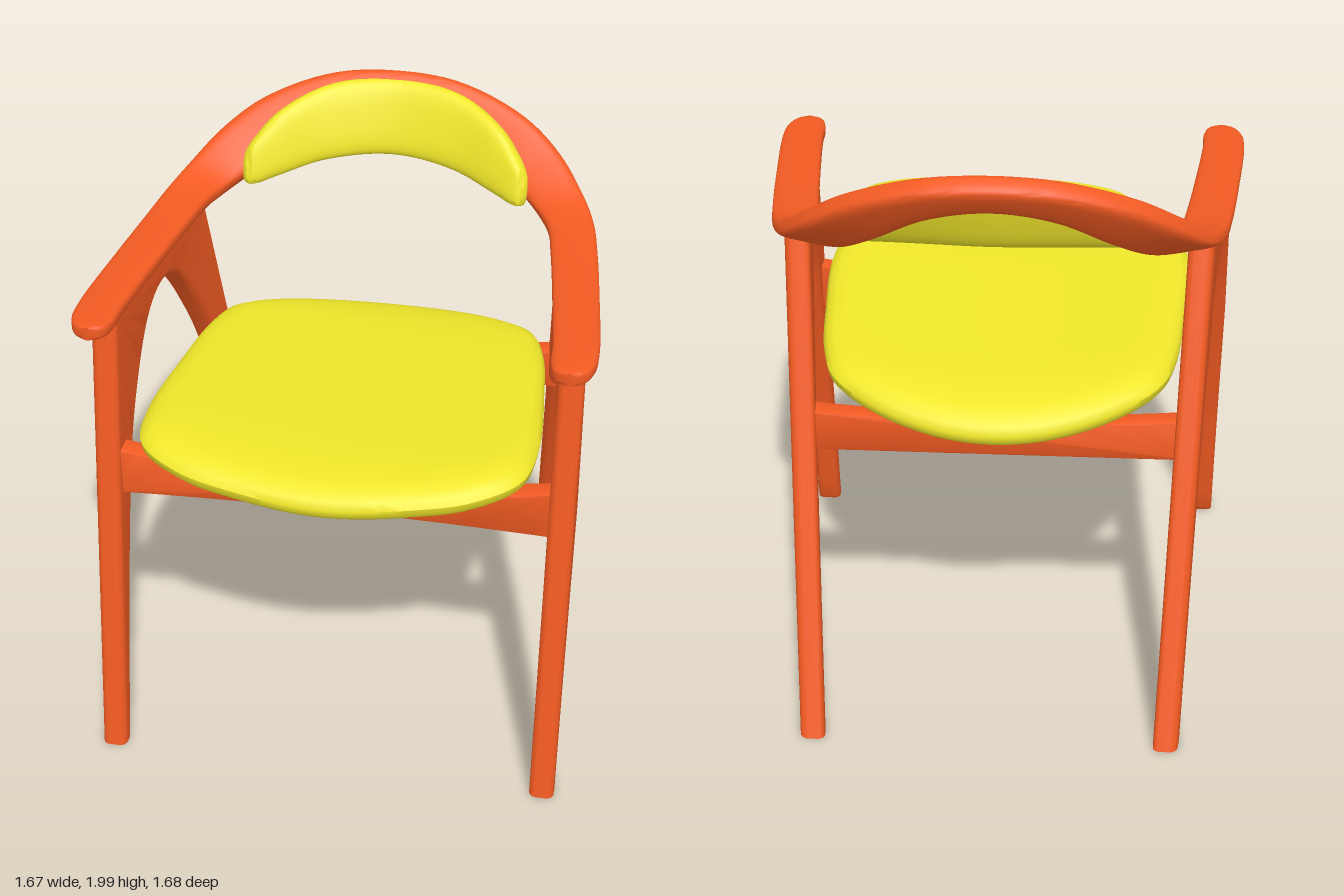
import * as THREE from 'three';
import { toCreasedNormals } from 'three/addons/utils/BufferGeometryUtils.js';

const V = (x, y, z) => new THREE.Vector3(x, y, z);
const wood = new THREE.MeshStandardMaterial({ color: 0xf15a22 });
const fabric = new THREE.MeshStandardMaterial({ color: 0xf0e62a });

function part(name, geometry, material) {
  const mesh = new THREE.Mesh(geometry, material);
  mesh.name = name;
  return mesh;
}

// Skin over a row of closed rings, capped at both ends, faces turned outward
function loft(rings) {
  const n = rings[0].length, pts = rings.flat(), idx = [];
  for (let i = 0; i < rings.length - 1; i++)
    for (let j = 0; j < n; j++) {
      const a = i * n + j, b = i * n + (j + 1) % n;
      idx.push(a, b, b + n, a, b + n, a + n);
    }
  for (const last of [false, true]) {
    const ring = last ? rings[rings.length - 1] : rings[0];
    const base = last ? (rings.length - 1) * n : 0;
    const c = pts.length;
    pts.push(ring.reduce((s, p) => s.add(p), V(0, 0, 0)).divideScalar(n));
    for (let j = 0; j < n; j++) {
      const a = base + j, b = base + (j + 1) % n;
      idx.push(...(last ? [a, b, c] : [b, a, c]));
    }
  }
  let volume = 0;
  for (let i = 0; i < idx.length; i += 3)
    volume += pts[idx[i]].dot(V(0, 0, 0).crossVectors(pts[idx[i + 1]], pts[idx[i + 2]]));
  if (volume < 0) idx.reverse();
  const g = new THREE.BufferGeometry().setFromPoints(pts);
  g.setIndex(idx);
  return toCreasedNormals(g, 0.7);
}

// Mirrored band: each station is [lower/inner edge, upper/outer edge, thickness]
function band(half, power, steps) {
  const flip = p => V(-p.x, p.y, p.z);
  const all = [...half, ...half.slice(0, -1).reverse().map(([a, b, t]) => [flip(a), flip(b), t])];
  const A = new THREE.CatmullRomCurve3(all.map(s => s[0]));
  const B = new THREE.CatmullRomCurve3(all.map(s => s[1]));
  const T = new THREE.SplineCurve(all.map((s, i) => new THREE.Vector2(i, s[2])));
  const mid = t => A.getPoint(t).add(B.getPoint(t)).multiplyScalar(0.5);
  const round = v => Math.sign(v) * Math.abs(v) ** (2 / power);
  const rings = [];
  for (let i = 0; i <= steps; i++) {
    const t = i / steps, c = mid(t);
    const along = mid(Math.min(1, t + 0.005)).sub(mid(Math.max(0, t - 0.005)));
    const u = B.getPoint(t).sub(A.getPoint(t)).multiplyScalar(0.5);
    const n = V(0, 0, 0).crossVectors(u, along).setLength(T.getPoint(t).y / 2);
    rings.push(Array.from({ length: 28 }, (_, j) => {
      const q = j / 28 * Math.PI * 2;
      return c.clone().addScaledVector(u, round(Math.cos(q))).addScaledVector(n, round(Math.sin(q)));
    }));
  }
  return loft(rings);
}

// Arched side frame: front and back legs in one piece, closing in toward the back
function sideFrame(side) {
  const arch = new THREE.SplineCurve([[-0.77, -0.04], [-0.59, 0.44], [-0.365, 0.96], [-0.18, 1.26],
    [-0.02, 1.45], [0.125, 1.507], [0.27, 1.44], [0.4, 1.23], [0.49, 0.97], [0.62, 0.48], [0.725, -0.04]]
    .map(p => new THREE.Vector2(...p)));
  const outer = [[0.793, -0.04], [0.55, 1.62], [-0.28, 1.62], [-0.848, -0.04]].map(p => new THREE.Vector2(...p));
  const shape = new THREE.Shape([...arch.getPoints(60), ...outer]);
  const g = new THREE.ExtrudeGeometry(shape, {
    depth: 0.036, bevelSize: 0.024, bevelThickness: 0.024, bevelOffset: -0.024, bevelSegments: 5 });
  g.translate(0, 0, -0.018).rotateY(-Math.PI / 2);
  const p = g.attributes.position;
  for (let i = 0; i < p.count; i++) {
    const lean = 0.115 * Math.max(0, 0.5 - p.getZ(i));
    p.setX(i, p.getX(i) + side * (0.752 - lean));
    p.setY(i, Math.max(0, p.getY(i)));
  }
  return toCreasedNormals(g, 0.6);
}

// Padded seat: rings of the outline, dished across and drooping at front and back
function seatPad() {
  const half = [[0.3, 0.795], [0.48, 0.75], [0.62, 0.65], [0.655, 0.45], [0.635, 0.1],
    [0.6, -0.2], [0.545, -0.36], [0.4, -0.48], [0.2, -0.56]];
  const loop = [[0, 0.83], ...half, [0, -0.585], ...half.map(([x, z]) => [-x, z]).reverse()];
  const outline = new THREE.CatmullRomCurve3(loop.map(([x, z]) => V(x, 0, z)), true).getPoints(96).slice(0, 96);
  const profile = [[0.01, 1], [0.25, 1], [0.45, 1], [0.65, 1], [0.8, 0.98], [0.88, 0.92], [0.94, 0.76], [0.98, 0.48],
    [1, 0.1], [0.995, -0.3], [0.97, -0.65], [0.93, -0.88], [0.87, -1], [0.6, -1], [0.3, -1], [0.01, -1]];
  return loft(profile.map(([r, h]) => outline.map(o => {
    const x = o.x * r, z = 0.1 + (o.z - 0.1) * r;
    const droop = 0.03 * (Math.max(0, z - 0.5) / 0.33) ** 2 + 0.035 * (Math.max(0, -0.3 - z) / 0.28) ** 2;
    return V(x, 1.115 + 0.06 * z + 0.05 * (x / 0.65) ** 2 - droop + 0.06 * h, z);
  })));
}

// Cross rail with a hollowed top edge and slightly arched underside
function crossRail(w, bottom, top, sag, rise, z) {
  const s = new THREE.Shape();
  s.moveTo(-w, bottom);
  s.quadraticCurveTo(0, bottom + rise * 2, w, bottom);
  s.lineTo(w, top);
  s.quadraticCurveTo(0, top - sag * 2, -w, top);
  const g = new THREE.ExtrudeGeometry(s, { depth: 0.06, curveSegments: 24,
    bevelSize: 0.008, bevelThickness: 0.008, bevelOffset: -0.008, bevelSegments: 2 });
  return toCreasedNormals(g.translate(0, 0, z - 0.03), 0.6);
}

export function createModel() {
  const chair = new THREE.Group();
  chair.name = 'armchair';

  chair.add(part('leftSideFrame', sideFrame(1), wood), part('rightSideFrame', sideFrame(-1), wood));

  // Armrests and back rail as one twisting band
  chair.add(part('armAndBackRail', band([
    [V(0.745, 1.635, 0.705), V(0.77, 1.635, 0.705), 0.045],
    [V(0.707, 1.635, 0.685), V(0.805, 1.635, 0.685), 0.05],
    [V(0.69, 1.635, 0.63), V(0.828, 1.635, 0.63), 0.052],
    [V(0.685, 1.635, 0.53), V(0.832, 1.635, 0.53), 0.052],
    [V(0.65, 1.635, 0.2), V(0.803, 1.635, 0.2), 0.052],
    [V(0.615, 1.635, -0.08), V(0.772, 1.638, -0.08), 0.054],
    [V(0.59, 1.635, -0.23), V(0.745, 1.652, -0.25), 0.058],
    [V(0.545, 1.642, -0.33), V(0.7, 1.69, -0.37), 0.068],
    [V(0.48, 1.668, -0.41), V(0.6, 1.785, -0.5), 0.08],
    [V(0.37, 1.735, -0.495), V(0.46, 1.88, -0.585), 0.085],
    [V(0.2, 1.84, -0.575), V(0.23, 1.96, -0.65), 0.085],
    [V(0, 1.88, -0.6), V(0, 1.98, -0.665), 0.085],
  ], 4, 120), wood));

  chair.add(part('backCushion', band([
    [V(0.49, 1.675, -0.345), V(0.49, 1.735, -0.365), 0.02],
    [V(0.482, 1.655, -0.35), V(0.482, 1.775, -0.385), 0.05],
    [V(0.455, 1.652, -0.362), V(0.455, 1.815, -0.42), 0.065],
    [V(0.39, 1.667, -0.4), V(0.39, 1.88, -0.48), 0.072],
    [V(0.23, 1.703, -0.485), V(0.23, 1.95, -0.58), 0.075],
    [V(0, 1.72, -0.535), V(0, 1.97, -0.625), 0.075],
  ], 3, 64), fabric));

  chair.add(part('seat', seatPad(), fabric));
  chair.add(part('frontRail', crossRail(0.72, 0.96, 1.13, 0.055, 0.015, 0.565), wood));
  chair.add(part('rearRail', crossRail(0.645, 0.91, 1.06, 0.03, 0, -0.42), wood));

  // Two sloping bearers under the seat, from front rail to rear rail
  const bearer = new THREE.Shape([[0.55, 1.0], [0.55, 1.09], [-0.41, 1.035], [-0.41, 0.93]]
    .map(p => new THREE.Vector2(...p)));
  for (const side of [1, -1]) {
    const g = new THREE.ExtrudeGeometry(bearer, { depth: 0.055, bevelEnabled: false });
    g.translate(0, 0, -0.0275).rotateY(-Math.PI / 2).translate(side * 0.15, 0, 0);
    chair.add(part(side > 0 ? 'leftBearer' : 'rightBearer', g, wood));
  }
  return chair;
}
